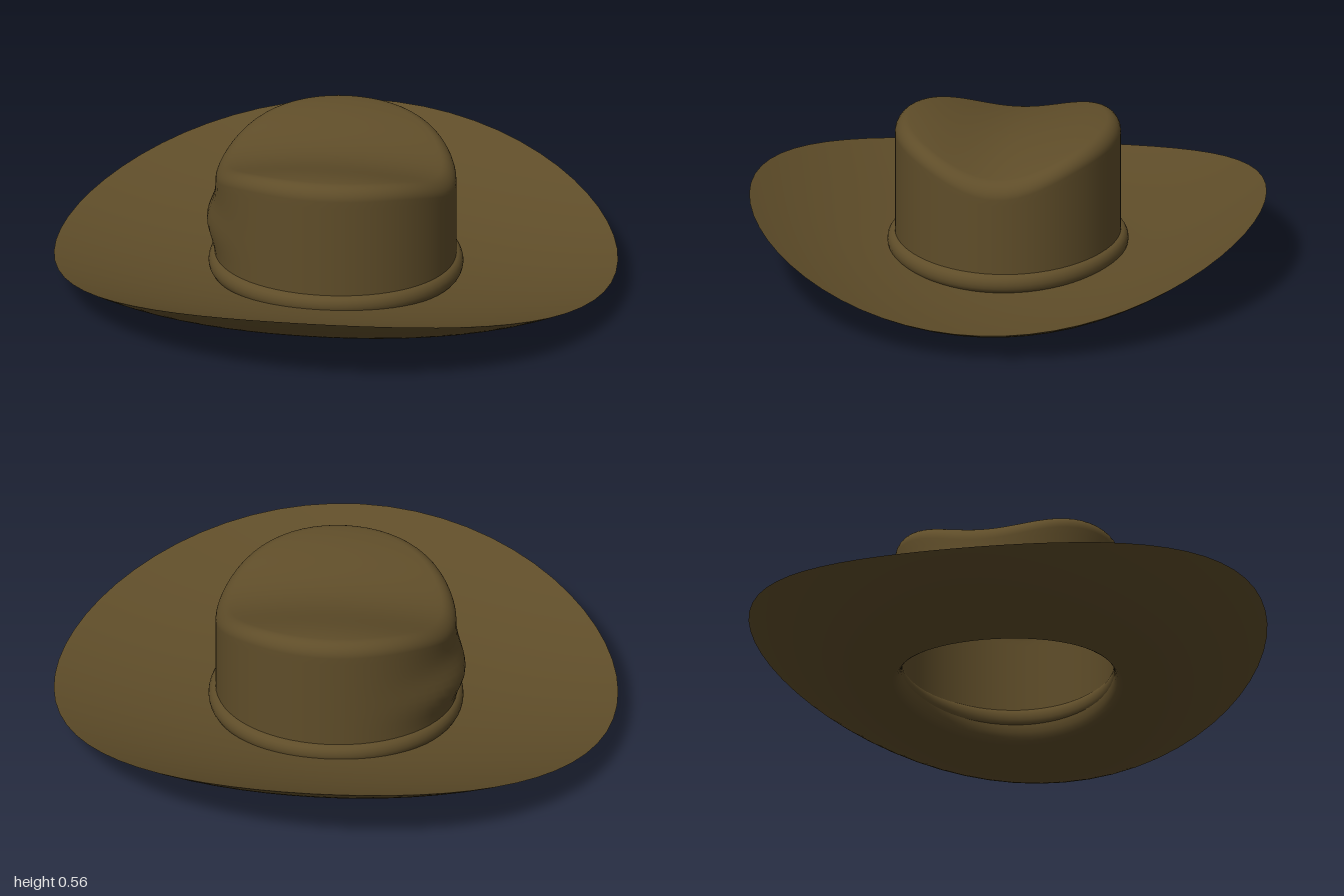
import * as THREE from 'three';

const SEG = 64;
const lerp = THREE.MathUtils.lerp;

// Closed rings joined into a smooth surface; each row maps an angle to [x, y, z]
function ringSurface(rows) {
  const pos = [], index = [];
  rows.forEach((row, i) => {
    for (let j = 0; j < SEG; j++) {
      pos.push(...row((j / SEG) * Math.PI * 2));
      if (i === rows.length - 1) continue;
      const k = (j + 1) % SEG;
      const a = i * SEG + j, b = i * SEG + k, c = a + SEG, d = b + SEG;
      index.push(a, b, c, b, d, c);
    }
  });
  const geo = new THREE.BufferGeometry();
  geo.setAttribute('position', new THREE.Float32BufferAttribute(pos, 3));
  geo.setIndex(index);
  geo.computeVertexNormals();
  return geo;
}

const steps = (n, f) => Array.from({ length: n + 1 }, (_, i) => f(i / n));

// Brim curls up towards the front and back
const brimCurl = (z) => 0.11 + 0.21 * z * z;

// The upper face sags towards the crown
const brimSag = (t) => 0.045 * (1 - ((t - 0.42) / 0.58) ** 2);

// Depth of the lower face by relative radius: a thin edge outside
const brimDepth = (t) =>
  t > 0.55 ? 0.107 * (1 - ((t - 0.55) / 0.45) ** 2) : 0.107 - 0.3 * (0.55 - t) ** 2;

// Ring of the brim at relative radius t, offset by y from the curl
const brimRing = (t, y) => (a) => {
  const z = 0.915 * t * Math.sin(a);
  return [t * Math.cos(a), brimCurl(z) + y, z];
};

// Crown top: a crease along x between two ridges, sloping to the sides
const crownTop = (x, z) =>
  0.505 + 0.031 * (1 - Math.cos((Math.PI * z) / 0.36)) - 0.25 * x * x;

// Rounded shoulder where the crown top turns into the wall
function shoulderDrop(s) {
  const u = Math.max(0, (s - 0.88) / 0.12);
  return 0.05 * (1 - Math.sqrt(Math.max(0, 1 - u * u)));
}

// Rings of a crown shell from the centre to the shoulder, then down the wall
function crownRings(rx, rz, lower, foot) {
  const ring = (s, w) => (a) => {
    const x = rx * s * Math.cos(a), z = rz * s * Math.sin(a);
    const shoulder = crownTop(x, z) - shoulderDrop(s) - lower;
    const y = lerp(shoulder, brimCurl(z) - foot, w);
    // slight flare low on one side of the wall
    const turn = Math.max(0, -Math.cos(a - Math.PI * 0.06));
    const flare = 1 + 0.09 * Math.sin(Math.PI * w) * turn ** 6 * Math.exp(-(((y - 0.25) / 0.09) ** 2));
    return [x * flare, y, z * flare];
  };
  return [
    ...steps(16, (i) => ring(lerp(0.001, 0.88, i), 0)),
    ...steps(8, (i) => ring(0.88 + 0.12 * Math.sin((i * Math.PI) / 2), 0)).slice(1),
    ...steps(16, (i) => ring(1, i)).slice(1),
  ];
}

export function createModel() {
  const hat = new THREE.Group();
  hat.name = 'hat';
  const felt = new THREE.MeshStandardMaterial({ color: 0x5f4d29 });
  const add = (name, rows) => {
    const mesh = new THREE.Mesh(ringSurface(rows), felt);
    mesh.name = name;
    hat.add(mesh);
  };

  add('crown', crownRings(0.427, 0.4, 0, 0.065));
  add('brimTop', steps(24, (i) => {
    const t = lerp(0.42, 1, i);
    return brimRing(t, -brimSag(t));
  }));

  // Lower face runs inwards, rounds into the head opening and up the hollow crown
  const lip = 0.455;
  add('undersideAndLining', [
    ...steps(24, (i) => {
      const t = lerp(1, lip, i);
      return brimRing(t, -brimDepth(t));
    }),
    ...steps(6, (i) => brimRing(
      lip - (lip - 0.41) * Math.sin((i * Math.PI) / 2),
      lerp(-brimDepth(lip), -0.035, 1 - Math.cos((i * Math.PI) / 2)),
    )).slice(1),
    ...crownRings(0.41, 0.915 * 0.41, 0.02, 0.035).reverse().slice(1),
  ]);

  // Rolled band around the foot of the crown
  add('band', steps(16, (i) => (a) => {
    const out = 0.027 * Math.sin(i * Math.PI * 2);
    const z = (0.4 + out) * Math.sin(a);
    return [(0.425 + out) * Math.cos(a), 0.097 + 0.1 * z * z + 0.035 * Math.cos(i * Math.PI * 2), z];
  }));

  return hat;
}
